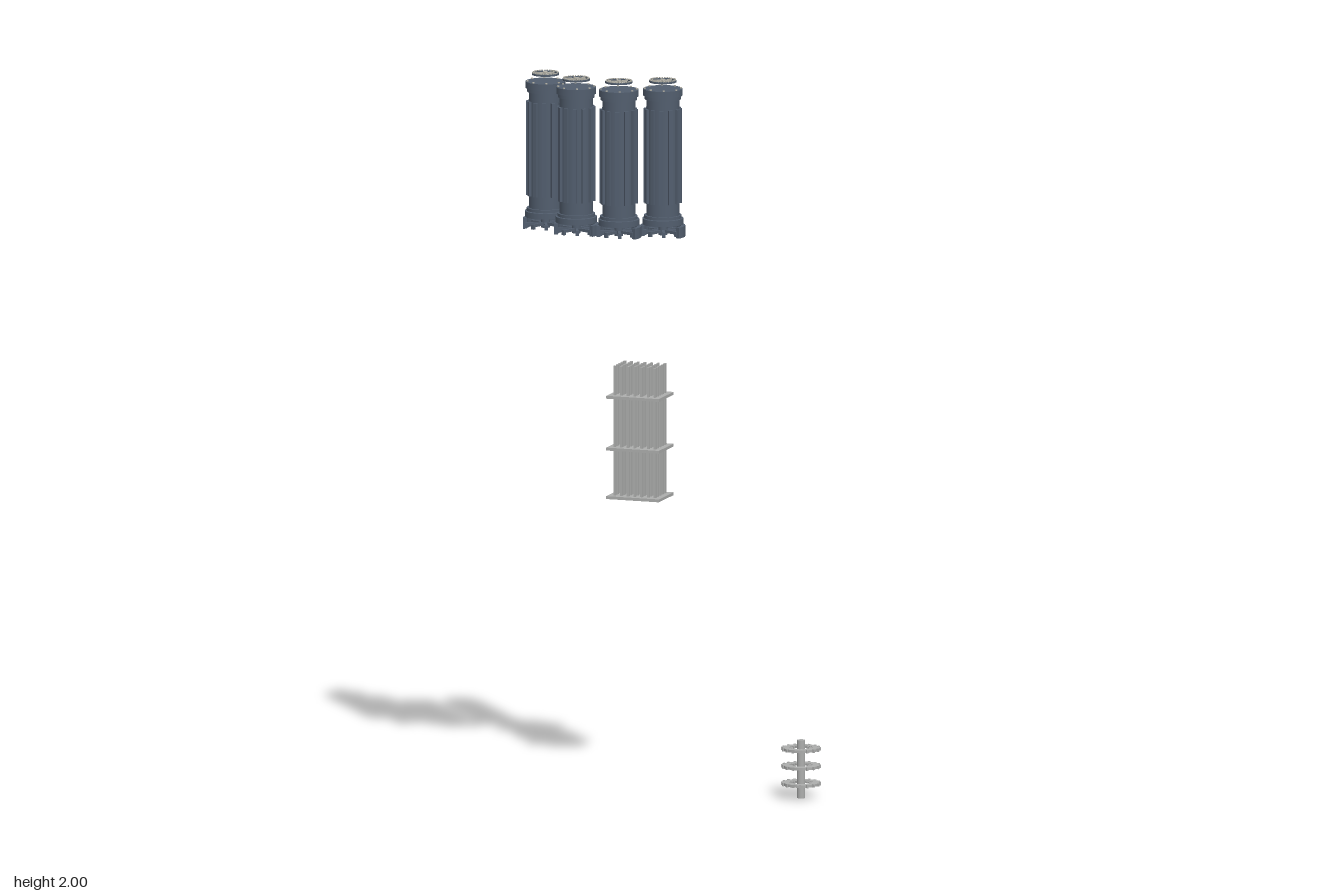
import * as THREE from 'three';

const slate = new THREE.MeshStandardMaterial({ color: 0x525e6e });
slate.name = 'slate metal';
const grey = new THREE.MeshStandardMaterial({ color: 0xadaead });
grey.name = 'light grey metal';
const pale = new THREE.MeshStandardMaterial({ color: 0xb4b2a8 });
pale.name = 'pale metal';

function add(parent, name, geometry, material, x = 0, y = 0, z = 0) {
  const mesh = new THREE.Mesh(geometry, material);
  mesh.name = name;
  mesh.position.set(x, y, z);
  parent.add(mesh);
  return mesh;
}

// Flat ring or open arc lying in the xz plane, rising from y = 0
function ringGeometry(outer, inner, height, start = 0, end = Math.PI * 2) {
  const shape = new THREE.Shape();
  shape.absarc(0, 0, outer, start, end, false);
  if (end - start < 6.28) {
    shape.absarc(0, 0, inner, end, start, true);
    shape.closePath();
  } else {
    const hole = new THREE.Path();
    hole.absarc(0, 0, inner, 0, Math.PI * 2, true);
    shape.holes.push(hole);
  }
  return new THREE.ExtrudeGeometry(shape, { depth: height, bevelEnabled: false, curveSegments: 32 })
    .rotateX(-Math.PI / 2);
}

// Repeat a geometry around the y axis at a radius
function around(parent, name, count, radius, y, geometry, material, phase = 0) {
  for (let i = 0; i < count; i++) {
    const a = phase + (i / count) * Math.PI * 2;
    const mesh = add(parent, name, geometry, material, radius * Math.cos(a), y, radius * Math.sin(a));
    mesh.rotation.y = -a;
  }
}

const cyl = (r, h, n = 32) => new THREE.CylinderGeometry(r, r, h, n);
const box = (x, y, z) => new THREE.BoxGeometry(x, y, z);

function makeColumn() {
  const column = new THREE.Group();
  column.name = 'column';
  // Barrel with raised vertical ribs
  add(column, 'barrel', cyl(0.045, 0.37), slate, 0, 1.785);
  around(column, 'rib', 12, 0.047, 1.79, box(0.01, 0.26, 0.011), slate, Math.PI / 12);
  // Flanges
  add(column, 'topFlange', cyl(0.054, 0.018), slate, 0, 1.965);
  add(column, 'topCollar', cyl(0.05, 0.01), slate, 0, 1.951);
  add(column, 'lowerCollar', cyl(0.051, 0.008), slate, 0, 1.622);
  add(column, 'lowerFlange', cyl(0.056, 0.016), slate, 0, 1.609);
  around(column, 'flangeBolt', 8, 0.049, 1.975, cyl(0.003, 0.004, 8), pale, Math.PI / 8);
  // Spoked wheel hovering over the top
  add(column, 'topWheelRim', ringGeometry(0.037, 0.031, 0.005), slate, 0, 1.992);
  around(column, 'rimStud', 32, 0.034, 1.998, box(0.004, 0.003, 0.003), pale);
  around(column, 'topSpoke', 6, 0.018, 1.9955, box(0.03, 0.004, 0.003), pale);
  add(column, 'topHub', cyl(0.007, 0.01, 16), pale, 0, 1.995);
  // Base shroud, open at the front
  const gap = 0.43;
  add(column, 'baseShroud', ringGeometry(0.061, 0.05, 0.03, -gap, Math.PI + gap), slate, 0, 1.567);
  // Clawed wheel inside the shroud
  add(column, 'baseHub', cyl(0.012, 0.035, 16), slate, 0, 1.588);
  around(column, 'baseSpoke', 8, 0.03, 1.581, box(0.046, 0.008, 0.007), slate, Math.PI / 8);
  around(column, 'baseClaw', 8, 0.05, 1.578, box(0.008, 0.014, 0.009), slate, Math.PI / 8);
  return column;
}

function makeRodBundle() {
  const bundle = new THREE.Group();
  bundle.name = 'rodBundle';
  for (const y of [0.791, 0.925, 1.068]) {
    add(bundle, 'spacerPlate', box(0.152, 0.008, 0.119), grey, 0, y);
  }
  const rod = box(0.006, 0.36, 0.01);
  for (let i = -3; i <= 3; i++) {
    for (let j = -2; j <= 2; j++) {
      add(bundle, 'rod', rod, grey, i * 0.0193, 0.973, j * 0.0193);
    }
  }
  return bundle;
}

function makeToothedStack() {
  const stack = new THREE.Group();
  stack.name = 'toothedStack';
  add(stack, 'shaft', cyl(0.011, 0.16, 24), grey, 0, 0.08);
  for (const y of [0.04, 0.088, 0.136]) {
    add(stack, 'toothedRing', ringGeometry(0.05, 0.031, 0.007), grey, 0, y - 0.0035);
    around(stack, 'outerTooth', 16, 0.051, y, box(0.006, 0.009, 0.006), grey, 0.1);
    around(stack, 'innerTooth', 16, 0.0275, y, box(0.009, 0.005, 0.005), grey);
  }
  return stack;
}

export function createModel() {
  const model = new THREE.Group();
  model.name = 'explodedAssembly';
  // Four columns in a shallow arc
  for (const [x, z] of [[-0.329, 0.116], [-0.221, 0.169], [-0.098, 0.169], [0.01, 0.116]]) {
    const column = makeColumn();
    column.position.set(x, 0, z);
    model.add(column);
  }
  const bundle = makeRodBundle();
  bundle.position.set(-0.16, 0, -0.172);
  model.add(bundle);
  const stack = makeToothedStack();
  stack.position.set(0.334, 0, -0.093);
  model.add(stack);
  return model;
}
